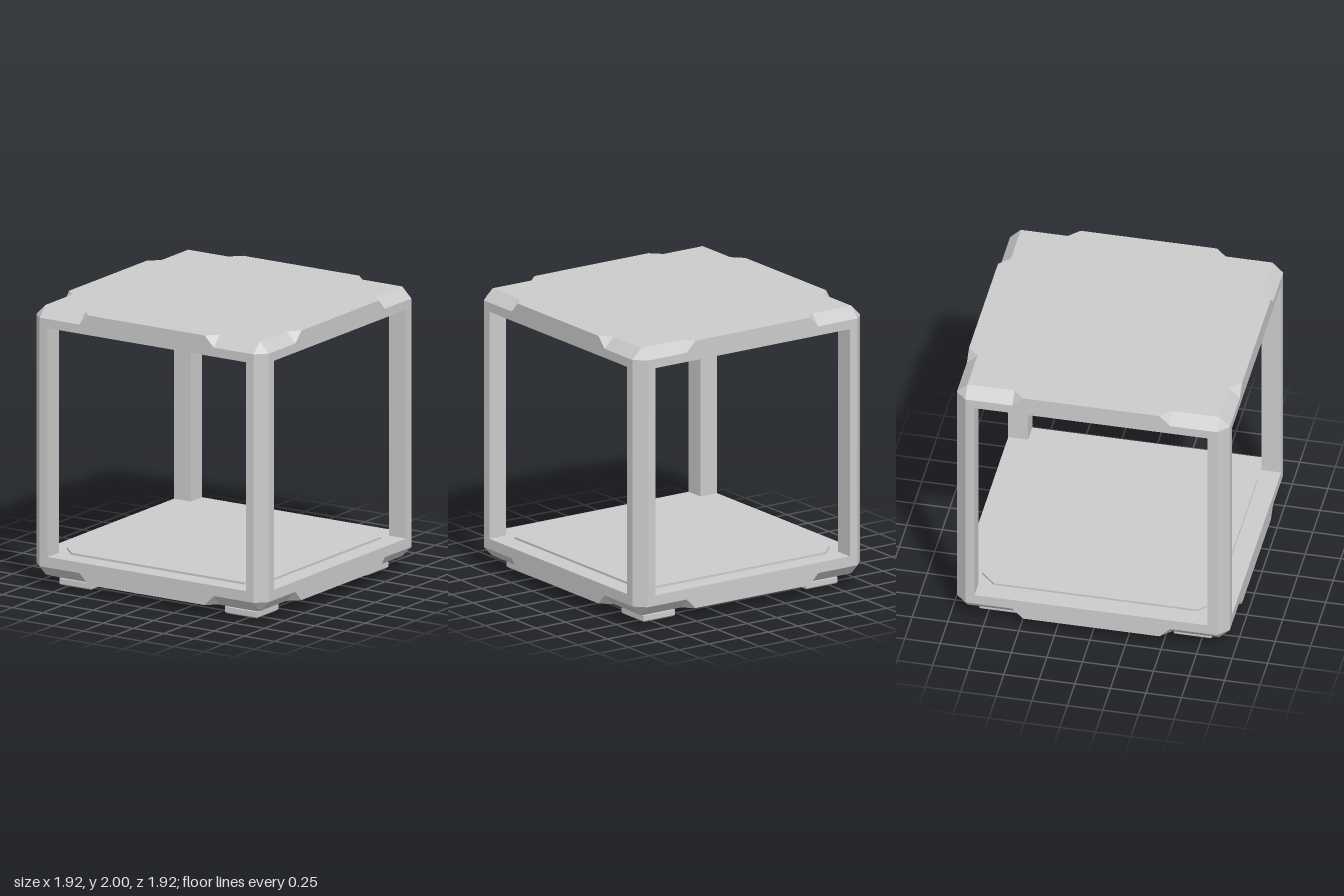
import * as THREE from 'three';

const R = 0.96;   // half width of the frame
const C = 0.885;  // start of the corner chamfers
const N = 0.555;  // end of an edge chamfer
const E = 0.48;   // end of the chamfer's run-out
const P = 0.82;   // inner face of the posts

// Flat-shaded solid through horizontal loops of [x, z] points, listed bottom to top.
function loft(name, levels) {
  const pos = [];
  const tri = (...corners) => corners.forEach((p) => pos.push(...p));
  const rings = levels.map(({ y, pts }) => pts.map(([x, z]) => [x, y, z]));
  for (let k = 0; k < rings.length - 1; k++) {
    const lo = rings[k], up = rings[k + 1], n = lo.length;
    for (let i = 0; i < n; i++) {
      const j = (i + 1) % n;
      const a = lo[i], b = lo[j], c = up[j], d = up[i];
      if (i % 6 === 4) { tri(a, b, c); tri(a, c, d); }  // mirrored diagonal for the far run-out
      else {
        tri(a, b, d);
        if (c.some((v, m) => v !== d[m])) tri(b, c, d);
      }
    }
  }
  const cap = (ring, flip) => {
    const contour = ring.map(([x, , z]) => new THREE.Vector2(x, -z));
    for (const [a, b, c] of THREE.ShapeUtils.triangulateShape(contour, [])) {
      if (flip) tri(ring[a], ring[c], ring[b]);
      else tri(ring[a], ring[b], ring[c]);
    }
  };
  cap(rings[0], true);
  cap(rings[rings.length - 1], false);

  const geo = new THREE.BufferGeometry();
  geo.setAttribute('position', new THREE.Float32BufferAttribute(pos, 3));
  geo.computeVertexNormals();
  const mesh = new THREE.Mesh(geo, new THREE.MeshStandardMaterial({ color: 0xcccccc, flatShading: true }));
  mesh.name = name;
  return mesh;
}

// Repeats one corner's points around the four corners.
function aroundCorners(corner) {
  const out = [];
  let pts = corner;
  for (let i = 0; i < 4; i++) {
    out.push(...pts);
    pts = pts.map(([x, z]) => [z, -x]);
  }
  return out;
}

// Square loop of a given half size.
const square = (h) => aroundCorners([[h, h]]);

// Slab whose upper edges are chamfered only near the corners.
function slab(name, thickness) {
  const full = aroundCorners([[E, R], [N, R], [C, R], [R, C], [R, N], [R, E]]);
  const cut = aroundCorners([[E, R], [N, C], [C, C], [C, C], [C, N], [R, E]]);
  return loft(name, [
    { y: -thickness, pts: full },
    { y: C - R, pts: full },
    { y: 0, pts: cut },
  ]);
}

export function createModel() {
  const model = new THREE.Group();
  model.name = 'cubeFrame';

  // Top and bottom slabs; the bottom one is turned over
  const top = slab('topSlab', 0.14);
  top.position.y = 2;
  const bottom = slab('bottomSlab', 0.15);
  bottom.rotation.x = Math.PI;
  bottom.position.y = 0.08;
  model.add(top, bottom);

  // Raised floor plate with clipped corners
  const plate = aroundCorners([[0.715, P], [P, 0.715]]);
  model.add(loft('floorPlate', [{ y: 0.225, pts: plate }, { y: 0.245, pts: plate }]));

  const postSection = [[P, R], [C, R], [R, C], [R, P], [P, P]];
  for (let i = 0; i < 4; i++) {
    const corner = new THREE.Group();
    corner.name = 'corner' + (i + 1);
    corner.rotation.y = i * Math.PI / 2;

    // Post with a chamfered outer edge
    corner.add(loft('post', [{ y: 0.23, pts: postSection }, { y: 1.86, pts: postSection }]));

    // Tapered mount under the slab
    const mount = loft('footMount', [{ y: 0.055, pts: square(0.135) }, { y: 0.08, pts: square(0.2) }]);
    // Square foot with bevelled rims
    const foot = loft('foot', [
      { y: 0, pts: square(0.122) },
      { y: 0.01, pts: square(0.132) },
      { y: 0.047, pts: square(0.132) },
      { y: 0.056, pts: square(0.124) },
    ]);
    for (const part of [mount, foot]) {
      part.position.set(0.685, 0, 0.685);
      corner.add(part);
    }
    model.add(corner);
  }
  return model;
}
